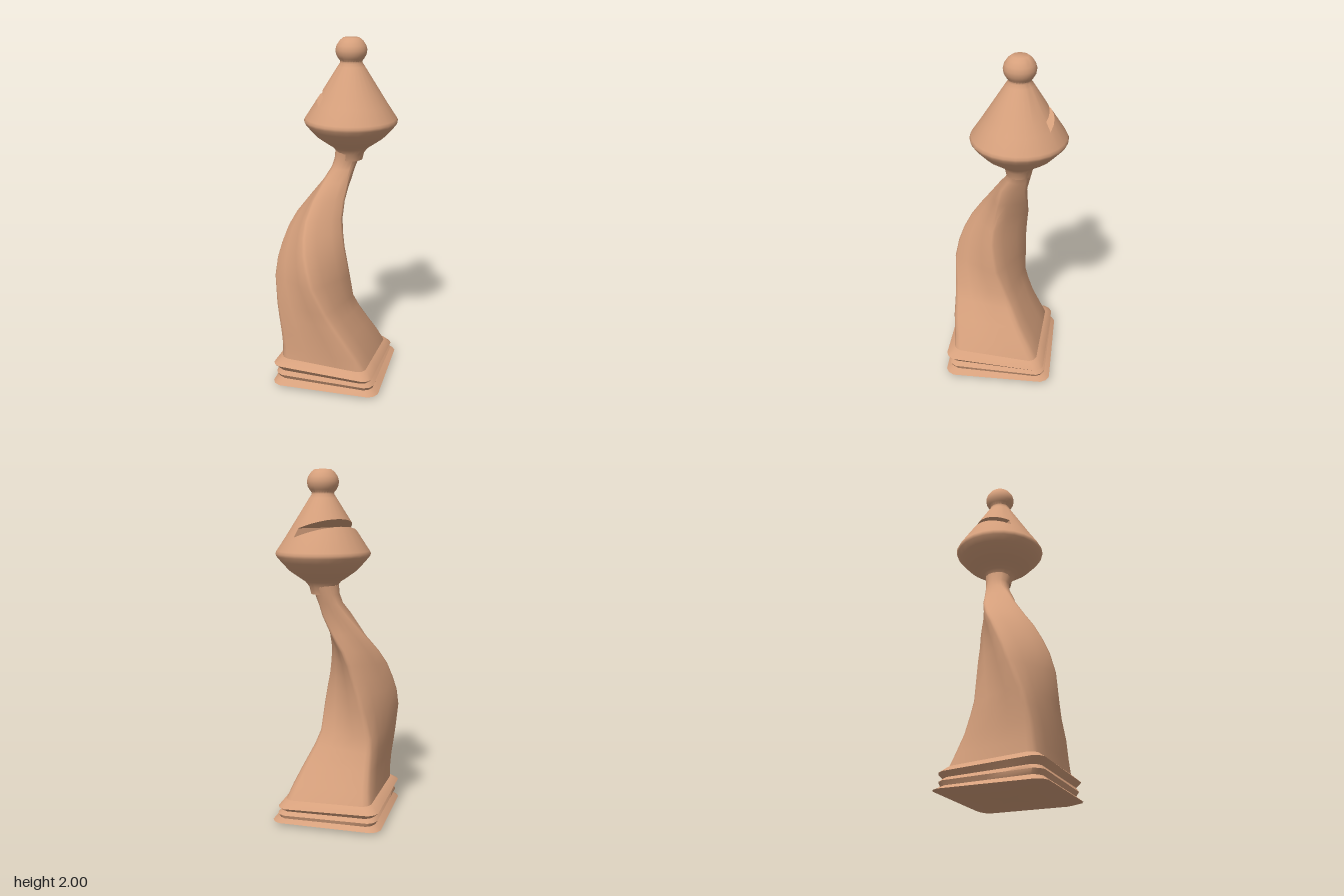
import * as THREE from 'three';
import { toCreasedNormals } from 'three/addons/utils/BufferGeometryUtils.js';

const RAD = Math.PI / 180;

// Skin closed rings of points, listed from bottom to top, with a cap on each end
function loft(rings, crease) {
  const n = rings[0].length, pos = [];
  const tri = (a, b, c) => {
    const area = b.clone().sub(a).cross(c.clone().sub(a)).length();
    if (area > 1e-9) for (const p of [a, b, c]) pos.push(p.x, p.y, p.z);
  };
  const middle = ring => ring.reduce((s, p) => s.add(p), new THREE.Vector3()).divideScalar(n);
  const low = middle(rings[0]), top = rings[rings.length - 1], high = middle(top);
  for (let j = 0; j < n; j++) {
    const k = (j + 1) % n;
    for (let i = 0; i < rings.length - 1; i++) {
      const a = rings[i], b = rings[i + 1];
      tri(a[j], b[j], a[k]);
      tri(b[j], b[k], a[k]);
    }
    tri(low, rings[0][j], rings[0][k]);
    tri(high, top[k], top[j]);
  }
  const g = new THREE.BufferGeometry();
  g.setAttribute('position', new THREE.Float32BufferAttribute(pos, 3));
  return toCreasedNormals(g, crease);
}

// Square with softened corners that blends towards a circle; tilt lifts the +z side
function squareRing([y, cx, cz, r, turn, round = 0, tilt = 0]) {
  const ring = [];
  for (let q = 0; q < 4; q++) {
    for (const a of [-5, 0, 5, 25, 45, 65]) {
      const side = 1.04 * r * Math.SQRT1_2 / Math.cos((Math.abs(a) - 45) * RAD);
      const d = THREE.MathUtils.lerp(Math.min(side, 0.98 * r), r, round);
      const t = (turn + q * 90 + a) * RAD;
      const x = d * Math.cos(t), z = d * Math.sin(t);
      ring.push(new THREE.Vector3(cx + x, y + tilt * z, cz + z));
    }
  }
  return ring;
}

// Head with a slanted slot cut in from the -x side
function headGeometry() {
  const cEnd = -0.115, tEnd = Math.acos(cEnd), slope = -0.39, a = 1.238, b = 0.63;
  const angles = [];
  for (let i = 0; i < 14; i++) angles.push(-tEnd + 2 * tEnd * i / 14);
  for (let i = 0; i < 12; i++) angles.push(tEnd + 2 * (Math.PI - tEnd) * i / 12);

  const circle = ([r, y]) => angles.map(t => new THREE.Vector3(r * Math.cos(t), y, r * Math.sin(t)));
  // Where the slanted plane through height y0 on the axis meets the cone
  const onCone = (t, y0) => {
    const c = Math.min(Math.cos(t), cEnd);
    const y = (y0 + slope * c * a) / (1 + slope * c * b), r = a - b * y;
    return new THREE.Vector3(r * Math.cos(t), y, r * Math.sin(t));
  };
  const lip = y0 => angles.map(t => onCone(t, y0));
  const slotEnd = y0 => {
    const xEnd = onCone(tEnd, y0).x;
    return lip(y0).map(p => p.x < xEnd ? new THREE.Vector3(xEnd, y0 + slope * xEnd, p.z) : p);
  };

  const under = [[0.068, 1.32], [0.077, 1.36], [0.1, 1.39], [0.145, 1.42], [0.19, 1.452],
    [0.235, 1.5], [0.26, 1.53], [0.265, 1.545], [0.258, 1.56]].map(circle);
  const slot = [lip(1.629), slotEnd(1.629), slotEnd(1.678), lip(1.678)];
  const tip = [[0.075, 1.846], [0.062, 1.865], [0.061, 1.875], [0.073, 1.89], [0.084, 1.91],
    [0.088, 1.935], [0.081, 1.96], [0.064, 1.985], [0.045, 2.0]].map(circle);
  return loft([...under, ...slot, ...tip], 0.8);
}

export function createModel() {
  const group = new THREE.Group();
  const material = new THREE.MeshStandardMaterial({ color: 0xd6a07c });
  const add = (name, geometry) => {
    const mesh = new THREE.Mesh(geometry, material);
    mesh.name = name;
    group.add(mesh);
    return mesh;
  };

  // Stepped square foot: height, centre x, centre z, radius, turn, roundness, tilt
  add('base', loft([
    [0.005, 0, 0, 0.37, 5],
    [0.022, 0, 0, 0.43, 5],
    [0.045, 0, 0, 0.385, 6, 0, 0.02],
    [0.068, 0, 0.005, 0.4, 6, 0, 0.03],
    [0.088, 0, 0.01, 0.375, 7, 0, 0.04],
    [0.115, 0, 0.015, 0.405, 7, 0, 0.06],
    [0.15, 0, 0.01, 0.355, 8, 0, 0.06],
  ].map(squareRing), 1));

  // Leaning, twisting stem that turns round at the neck
  add('twistedStem', loft([
    [0.14, 0, 0.01, 0.35, 8, 0, 0.06],
    [0.22, 0, 0.035, 0.32, 10, 0, 0.04],
    [0.32, -0.003, 0.075, 0.285, 13, 0, 0.02],
    [0.42, -0.017, 0.11, 0.253, 17],
    [0.5, -0.025, 0.132, 0.234, 22],
    [0.65, -0.037, 0.144, 0.222, 36],
    [0.75, -0.047, 0.138, 0.208, 43],
    [0.83, -0.056, 0.125, 0.192, 50],
    [0.92, -0.068, 0.1, 0.173, 57],
    [1.0, -0.076, 0.065, 0.152, 65],
    [1.1, -0.065, 0.012, 0.125, 78, 0.1],
    [1.2, -0.046, -0.04, 0.097, 90, 0.3],
    [1.27, -0.041, -0.08, 0.074, 95, 0.7],
    [1.32, -0.035, -0.098, 0.069, 98, 1],
    [1.37, -0.022, -0.108, 0.08, 98, 1],
  ].map(squareRing), 1));

  add('slottedHead', headGeometry()).position.set(-0.015, 0, -0.112);
  return group;
}
